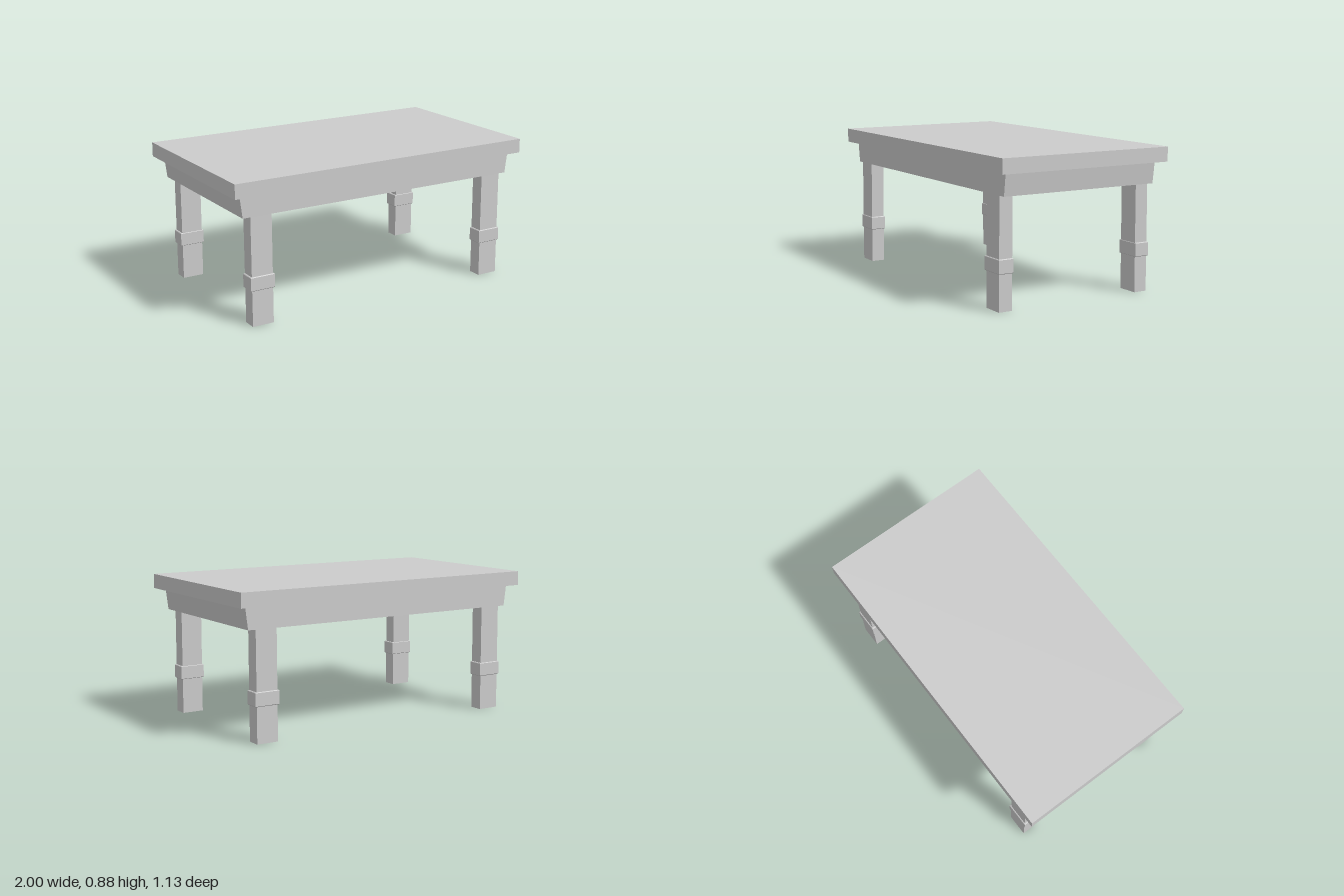
import * as THREE from 'three';

const material = new THREE.MeshStandardMaterial({ color: 0xcccccc, flatShading: true });

function addMesh(parent, name, geometry, x = 0, y = 0, z = 0) {
  const mesh = new THREE.Mesh(geometry, material);
  mesh.name = name;
  mesh.position.set(x, y, z);
  parent.add(mesh);
  return mesh;
}

// Rectangular collar with a small chamfer on its top and bottom edges
function collarGeometry(w, h, d, bevel) {
  const x = w / 2 - bevel, z = d / 2 - bevel;
  const shape = new THREE.Shape([
    new THREE.Vector2(-x, -z), new THREE.Vector2(x, -z),
    new THREE.Vector2(x, z), new THREE.Vector2(-x, z),
  ]);
  const geometry = new THREE.ExtrudeGeometry(shape, {
    depth: h - 2 * bevel, bevelThickness: bevel, bevelSize: bevel, bevelSegments: 1,
  });
  return geometry.translate(0, 0, bevel - h / 2).rotateX(-Math.PI / 2);
}

// Leg post whose upper end leans slightly inward
function postGeometry(w, h, d, lean) {
  const geometry = new THREE.BoxGeometry(w, h, d);
  const p = geometry.attributes.position;
  for (let i = 0; i < p.count; i++) {
    if (p.getY(i) > 0) p.setZ(i, p.getZ(i) - lean);
  }
  geometry.computeVertexNormals();
  return geometry;
}

export function createModel() {
  const table = new THREE.Group();
  table.name = 'table';

  // Flat slab top
  addMesh(table, 'tableTop', new THREE.BoxGeometry(2, 0.088, 1.126), 0, 0.831, 0);

  // Solid apron with sloped ends
  const profile = new THREE.Shape([
    new THREE.Vector2(-0.93, 0.655), new THREE.Vector2(0.93, 0.655),
    new THREE.Vector2(0.947, 0.787), new THREE.Vector2(-0.947, 0.787),
  ]);
  const apron = new THREE.ExtrudeGeometry(profile, { depth: 1.022, bevelEnabled: false });
  addMesh(table, 'apron', apron.translate(0, 0, -0.511));

  // Four legs, each a square post with a collar
  for (const sx of [1, -1]) {
    for (const sz of [1, -1]) {
      const leg = new THREE.Group();
      leg.name = `${sz > 0 ? 'front' : 'back'}${sx > 0 ? 'Left' : 'Right'}Leg`;
      leg.position.set(sx * 0.815, 0, sz * 0.472);
      addMesh(leg, 'post', postGeometry(0.135, 0.656, 0.085, sz * 0.004), 0, 0.328, 0);
      addMesh(leg, 'collar', collarGeometry(0.155, 0.085, 0.094, 0.004), 0, 0.258, 0);
      table.add(leg);
    }
  }
  return table;
}
